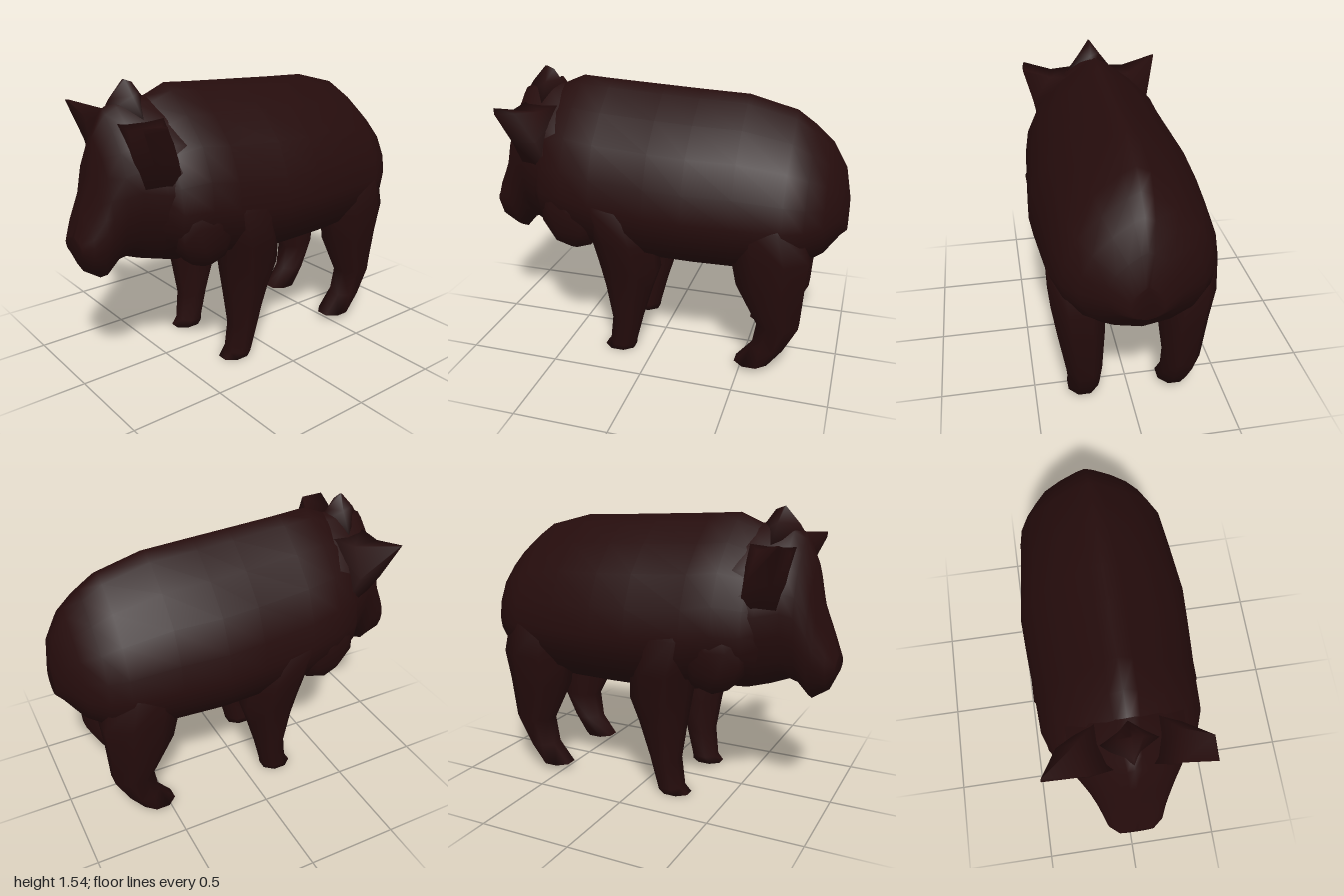
import * as THREE from 'three';

const hide = new THREE.MeshStandardMaterial({ color: 0x250c0c });
hide.name = 'dark brown hide';

// Closed skin through rings of [x, y, z] points, capped at both ends
function loft(name, rings) {
  const n = rings[0].length, pos = rings.flat(2), idx = [];
  for (let i = 0; i < rings.length - 1; i++) {
    for (let j = 0; j < n; j++) {
      const a = i * n + j, b = i * n + (j + 1) % n;
      idx.push(a, b, a + n, b, b + n, a + n);
    }
  }
  const last = (rings.length - 1) * n;
  for (let j = 1; j < n - 1; j++) {
    idx.push(0, j + 1, j, last, last + j, last + j + 1);
  }
  // Turn the faces outward whichever way the rings run
  const p = (i) => new THREE.Vector3().fromArray(pos, i * 3);
  let volume = 0;
  for (let i = 0; i < idx.length; i += 3) volume += p(idx[i]).dot(p(idx[i + 1]).cross(p(idx[i + 2])));
  if (volume < 0) idx.reverse();
  const g = new THREE.BufferGeometry();
  g.setAttribute('position', new THREE.Float32BufferAttribute(pos, 3));
  g.setIndex(idx);
  g.computeVertexNormals();
  const mesh = new THREE.Mesh(g, hide);
  mesh.name = name;
  return mesh;
}

// Half section of the trunk: narrow ridge on top, full flanks, round belly
const half = [[0, 1], [0.16, 0.94], [0.48, 0.76], [0.78, 0.53], [0.95, 0.25], [1, 0],
  [0.96, -0.28], [0.8, -0.62], [0.45, -0.88], [0, -1]];
const section = [...half, ...half.slice(1, -1).reverse().map(([x, y]) => [-x, y])];

// Stations are [z, half width, bottom, top]
const trunk = (name, stations, level) => loft(name, stations.map(([z, w, b, t]) => {
  const m = b + level * (t - b);
  return section.map(([x, y]) => [x * w, m + y * (y > 0 ? t - m : m - b), z]);
}));

// Leg stations are [y, x, z, x radius, z radius]
const leg = (name, side, stations) => loft(name, stations.map(([y, x, z, rx, rz]) =>
  Array.from({ length: 8 }, (_, i) => {
    const a = (i + 0.5) * Math.PI / 4;
    return [side * (x + 1.08 * rx * Math.cos(a)), y, z + 1.08 * rz * Math.sin(a)];
  })));

export function createModel() {
  const model = new THREE.Group();
  model.name = 'pig';

  model.add(trunk('body', [
    [-0.995, 0.08, 0.78, 0.96], [-0.965, 0.18, 0.76, 1.12], [-0.89, 0.295, 0.66, 1.25],
    [-0.8, 0.365, 0.6, 1.33], [-0.7, 0.41, 0.56, 1.4], [-0.45, 0.435, 0.53, 1.465],
    [-0.2, 0.46, 0.53, 1.475], [0, 0.45, 0.53, 1.485], [0.3, 0.43, 0.55, 1.5],
    [0.46, 0.42, 0.6, 1.51], [0.6, 0.37, 0.63, 1.45], [0.7, 0.25, 0.7, 1.38],
  ], 0.38));

  model.add(trunk('head', [
    [0.35, 0.36, 0.6, 1.42], [0.52, 0.37, 0.58, 1.46], [0.65, 0.32, 0.62, 1.46],
    [0.75, 0.255, 0.66, 1.45], [0.81, 0.215, 0.64, 1.42], [0.87, 0.18, 0.57, 1.29],
    [0.9, 0.165, 0.59, 1.12], [0.96, 0.14, 0.63, 0.95], [1, 0.09, 0.72, 0.82],
  ], 0.5));

  // Peak between the ears
  model.add(loft('crest', [
    [[0.16, 1.34, 0.66], [0, 1.38, 0.82], [-0.16, 1.34, 0.66], [0, 1.4, 0.54]],
    [[0.06, 1.47, 0.67], [0, 1.46, 0.77], [-0.06, 1.47, 0.67], [0, 1.475, 0.6]],
    [[0.006, 1.545, 0.68], [0, 1.548, 0.69], [-0.006, 1.545, 0.68], [0, 1.53, 0.64]],
  ]));

  for (const side of [1, -1]) {
    const label = side > 0 ? 'left' : 'right';

    // Ears flare out of the cheeks; the left tip is blunt, the right one pointed
    const tip = side > 0
      ? [[0.38, 1.39, 0.815], [0.39, 1.36, 0.81], [0.392, 1.37, 0.69], [0.385, 1.385, 0.69]]
      : [[0.42, 1.4, 0.795], [0.422, 1.395, 0.79], [0.42, 1.395, 0.78], [0.418, 1.4, 0.78]];
    const base = [[0.08, 1.36, 0.78], [0.2, 0.98, 0.74], [0.3, 0.98, 0.54], [0.1, 1.38, 0.52]];
    const middle = [[0.22, 1.345, 0.79], [0.345, 1.2, 0.74], [0.345, 1.21, 0.61], [0.24, 1.35, 0.63]];
    model.add(loft(label + 'Ear', [base, middle, tip].map((r) => r.map(([x, y, z]) => [side * x, y, z]))));

    model.add(leg(label + 'FrontLeg', side, [
      [1.08, 0.28, 0.24, 0.07, 0.1], [0.9, 0.315, 0.2, 0.125, 0.18], [0.7, 0.28, 0.15, 0.135, 0.17],
      [0.53, 0.26, 0.125, 0.12, 0.16], [0.4, 0.25, 0.135, 0.105, 0.125], [0.2, 0.245, 0.15, 0.085, 0.08],
      [0.04, 0.24, 0.18, 0.075, 0.07], [0.005, 0.235, 0.2, 0.07, 0.085],
    ]));

    model.add(leg(label + 'HindLeg', side, [
      [1.05, 0.25, -0.59, 0.09, 0.13], [0.88, 0.29, -0.61, 0.125, 0.18], [0.7, 0.28, -0.64, 0.13, 0.2],
      [0.53, 0.265, -0.645, 0.12, 0.175], [0.3, 0.255, -0.695, 0.09, 0.11],
      [0.15, 0.25, -0.645, 0.08, 0.085], [0.04, 0.245, -0.56, 0.08, 0.09],
    ]));

    // Rough jowl behind the face
    const jowl = new THREE.Mesh(new THREE.IcosahedronGeometry(1, 1), hide);
    jowl.name = label + 'Jowl';
    jowl.scale.set(0.13, 0.25, 0.2);
    jowl.position.set(side * 0.285, 0.86, 0.43);
    model.add(jowl);
  }
  return model;
}
